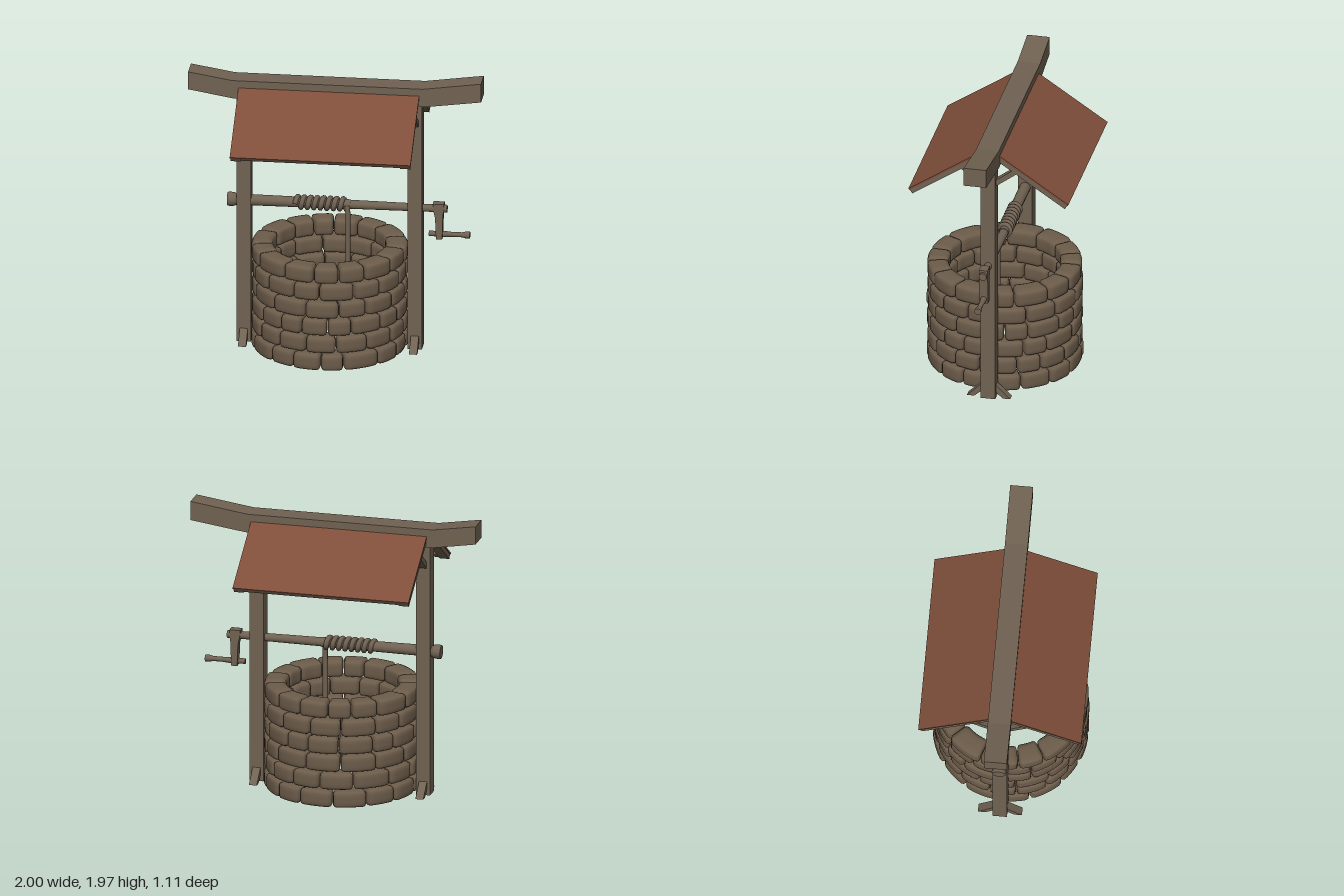
import * as THREE from 'three';
import { mergeGeometries, mergeVertices } from 'three/addons/utils/BufferGeometryUtils.js';

const wood = new THREE.MeshStandardMaterial({ color: 0x706252 });
wood.name = 'weathered wood';
const stone = new THREE.MeshStandardMaterial({ color: 0x6c5c4a });
stone.name = 'brown stone';
const roofRed = new THREE.MeshStandardMaterial({ color: 0x7f4e3a });
roofRed.name = 'red roof';

const CX = -0.04; // middle of the frame and the wall
const POST_OFFSET = 0.584;

function add(parent, name, geometry, material, x = 0, y = 0, z = 0) {
  const mesh = new THREE.Mesh(geometry, material);
  mesh.name = name;
  mesh.position.set(x, y, z);
  parent.add(mesh);
  return mesh;
}

const box = (w, h, d) => new THREE.BoxGeometry(w, h, d);

// Outline in the plane of the front, extruded and centred in depth
function slab(points, depth) {
  const shape = new THREE.Shape(points.map(p => new THREE.Vector2(...p)));
  return new THREE.ExtrudeGeometry(shape, { depth, bevelEnabled: false }).translate(0, 0, -depth / 2);
}

// Turned round bar along x from [x, radius] pairs
function turned(profile, sides = 12) {
  const pts = [...profile].reverse().map(([x, r]) => new THREE.Vector2(r, -x));
  return new THREE.LatheGeometry(pts, sides).rotateZ(-Math.PI / 2).rotateY(Math.PI);
}

// Bar whose caps and shoulders stay sharp: one cylinder per [x0, r0, x1, r1]
function steppedBar(steps, sides = 14) {
  return mergeGeometries(steps.map(([x0, r0, x1, r1]) =>
    new THREE.CylinderGeometry(r1, r0, x1 - x0, sides)
      .rotateZ(-Math.PI / 2).translate((x0 + x1) / 2, 0, 0)));
}

// Rounded stone bent around the wall's centre
function stoneBlock(angle, arc, y0, height, inner, outer) {
  const mid = (inner + outer) / 2;
  const half = [arc * mid / 2, height / 2, (outer - inner) / 2];
  const r = 0.026;
  let g = new THREE.BoxGeometry(half[0] * 2, height, half[2] * 2, 8, 5, 5);
  g.deleteAttribute('uv');
  g.deleteAttribute('normal');
  g = mergeVertices(g, 1e-5);
  const p = g.attributes.position;
  const v = new THREE.Vector3(), core = new THREE.Vector3();
  const limit = new THREE.Vector3(half[0] - r, half[1] - r, half[2] - r);
  for (let i = 0; i < p.count; i++) {
    v.fromBufferAttribute(p, i);
    core.copy(v).clamp(limit.clone().negate(), limit);
    v.sub(core).setLength(r).add(core);
    const a = angle + v.x / mid, rad = mid + v.z;
    p.setXYZ(i, Math.sin(a) * rad, y0 + height / 2 + v.y, Math.cos(a) * rad);
  }
  g.computeVertexNormals();
  return g;
}

function buildWall() {
  let seed = 7;
  const rand = () => (seed = (seed * 16807) % 2147483647) / 2147483647;
  const wall = new THREE.Group();
  wall.name = 'stoneWall';
  wall.position.set(CX, 0, 0.02);
  for (let row = 0; row < 6; row++) {
    const widths = Array.from({ length: 15 }, () => 0.75 + rand() * 0.5);
    const scale = Math.PI * 2 / widths.reduce((a, b) => a + b);
    let angle = row * 0.21;
    const blocks = widths.map(w => {
      const arc = w * scale;
      angle += arc;
      return stoneBlock(angle - arc / 2, arc - 0.012, 0.003 + row * 0.1265, 0.119,
        0.375 + rand() * 0.015, 0.522 + rand() * 0.01);
    });
    add(wall, 'stoneCourse' + (row + 1), mergeGeometries(blocks), stone);
  }
  return wall;
}

// One roof slope with its frame; local z runs down the slope
function buildRoofSide() {
  const side = new THREE.Group();
  const slope = new THREE.Group();
  slope.position.set(0, 1.862, 0.07);
  slope.rotation.x = 0.59;
  side.add(slope);
  const length = 0.584;
  add(slope, 'roofPanel', box(1.234, 0.012, length + 0.03), roofRed, 0, -0.006, length / 2 - 0.015);
  for (const s of [-1, 1]) {
    add(slope, 'rafter', box(0.07, 0.034, length + 0.02), wood, s * 0.578, -0.028, length / 2 - 0.012);
  }
  add(slope, 'eaveBar', box(1.09, 0.026, 0.06), wood, 0, -0.025, length - 0.034);
  add(slope, 'ridgeBar', box(1.09, 0.026, 0.06), wood, 0, -0.025, 0.03);
  // Diagonal braces at the head and foot of each post
  const head = [[0.03, 1.605], [0.205, 1.735], [0.165, 1.75], [0.03, 1.65]];
  const foot = [[0.03, 0.06], [0.1, 0], [0.15, 0], [0.03, 0.115]];
  for (const s of [-1, 1]) {
    add(side, 'headBrace', slab(head, 0.05).rotateY(-Math.PI / 2), wood, s * POST_OFFSET);
    add(side, 'footBrace', slab(foot, 0.055).rotateY(-Math.PI / 2), wood, s * POST_OFFSET);
  }
  return side;
}

function buildWindlass() {
  const g = new THREE.Group();
  g.name = 'windlass';
  g.position.y = 1.015;
  add(g, 'axle', steppedBar([
    [-0.74, 0.046, -0.725, 0.05], [-0.725, 0.05, -0.69, 0.046], [-0.69, 0.046, -0.675, 0.036],
    [-0.7, 0.039, 0.1, 0.034], [0.1, 0.031, 0.68, 0.026], [0.66, 0.028, 0.76, 0.027],
  ]), wood);
  // Crank arm and its turned handle
  add(g, 'crankArm', slab([[0.664, 0.04], [0.668, -0.01], [0.68, -0.06], [0.686, -0.215],
    [0.728, -0.215], [0.733, -0.05], [0.74, 0.0], [0.74, 0.04]], 0.06), wood);
  add(g, 'crankHandle', steppedBar([
    [0.635, 0.019, 0.72, 0.018], [0.72, 0.023, 0.79, 0.017], [0.79, 0.017, 0.86, 0.017],
    [0.86, 0.017, 0.885, 0.023], [0.885, 0.023, 0.915, 0.024],
  ], 10), wood, 0, -0.185, 0);

  // Rope wound along the axle, then hanging into the well
  const turns = 8, perTurn = 12, points = [];
  for (let i = 0; i <= turns * perTurn; i++) {
    const t = i / (turns * perTurn), a = t * turns * Math.PI * 2;
    points.push(new THREE.Vector3(-0.275 + t * 0.355, Math.sin(a) * 0.036, Math.cos(a) * 0.036));
  }
  for (const y of [-0.05, -0.2, -0.5, -0.92]) points.push(new THREE.Vector3(0.086, y, 0.042));
  const path = new THREE.CatmullRomCurve3(points);
  add(g, 'rope', new THREE.TubeGeometry(path, 220, 0.018, 8), wood);
  return g;
}

export function createModel() {
  const model = new THREE.Group();
  model.name = 'well';
  model.add(buildWall());

  // Posts and the upswept ridge beam
  for (const s of [-1, 1]) {
    add(model, s < 0 ? 'rightPost' : 'leftPost', box(0.098, 1.8, 0.1), wood, CX + s * POST_OFFSET, 0.9, 0);
  }
  add(model, 'ridgeBeam', slab([[-1, 1.83], [-0.69, 1.778], [0.61, 1.778], [1, 1.832],
    [1, 1.965], [0.6, 1.908], [-0.7, 1.908], [-1, 1.957]], 0.156), wood);

  // Matching front and back slopes
  for (const [name, turn] of [['frontRoof', 0], ['backRoof', Math.PI]]) {
    const side = buildRoofSide();
    side.name = name;
    side.position.x = CX;
    side.rotation.y = turn;
    model.add(side);
  }

  model.add(buildWindlass());
  return model;
}
